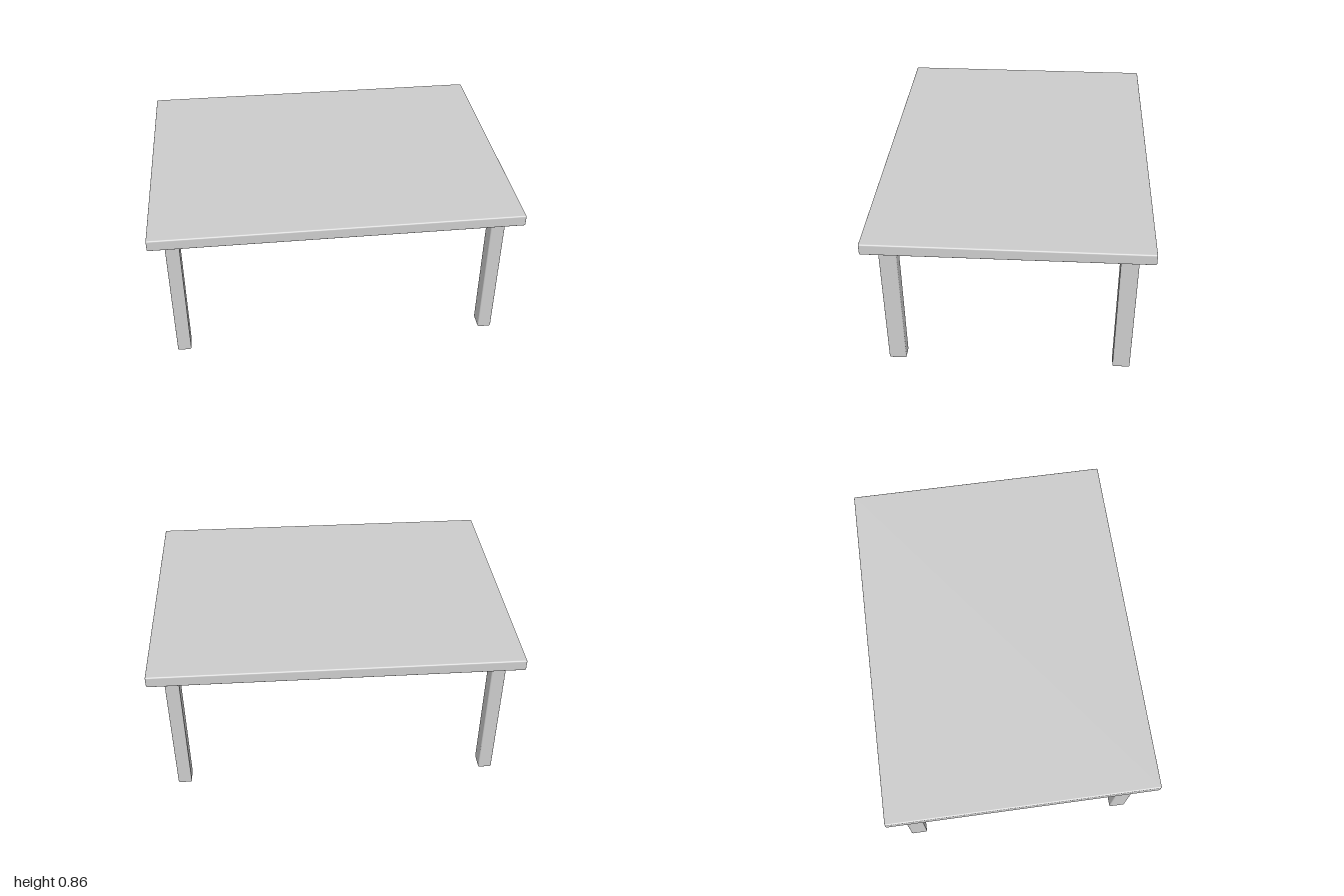
import * as THREE from 'three';
import { RoundedBoxGeometry } from 'three/addons/geometries/RoundedBoxGeometry.js';

const TOP = { width: 2, depth: 1.496, bottom: 0.793, height: 0.064 };
const LEG = { width: 0.076, depth: 0.095, x: 0.879, z: 0.624 };
const BEVEL = 0.008;

export function createModel() {
  const table = new THREE.Group();
  table.name = 'table';
  const material = new THREE.MeshStandardMaterial({ color: 0xcccccc });

  // Slab with softly eased edges, placed by its underside
  const addBlock = (name, w, h, d, x, y, z) => {
    const mesh = new THREE.Mesh(new RoundedBoxGeometry(w, h, d, 3, BEVEL), material);
    mesh.name = name;
    mesh.position.set(x, y + h / 2, z);
    table.add(mesh);
  };

  // Tabletop
  addBlock('tabletop', TOP.width, TOP.height, TOP.depth, 0, TOP.bottom, 0);

  // Four legs, inset from the corners
  for (const [side, sx] of [['Left', 1], ['Right', -1]]) {
    for (const [end, sz] of [['front', 1], ['back', -1]]) {
      addBlock(`${end}${side}Leg`, LEG.width, TOP.bottom, LEG.depth, sx * LEG.x, 0, sz * LEG.z);
    }
  }
  return table;
}
